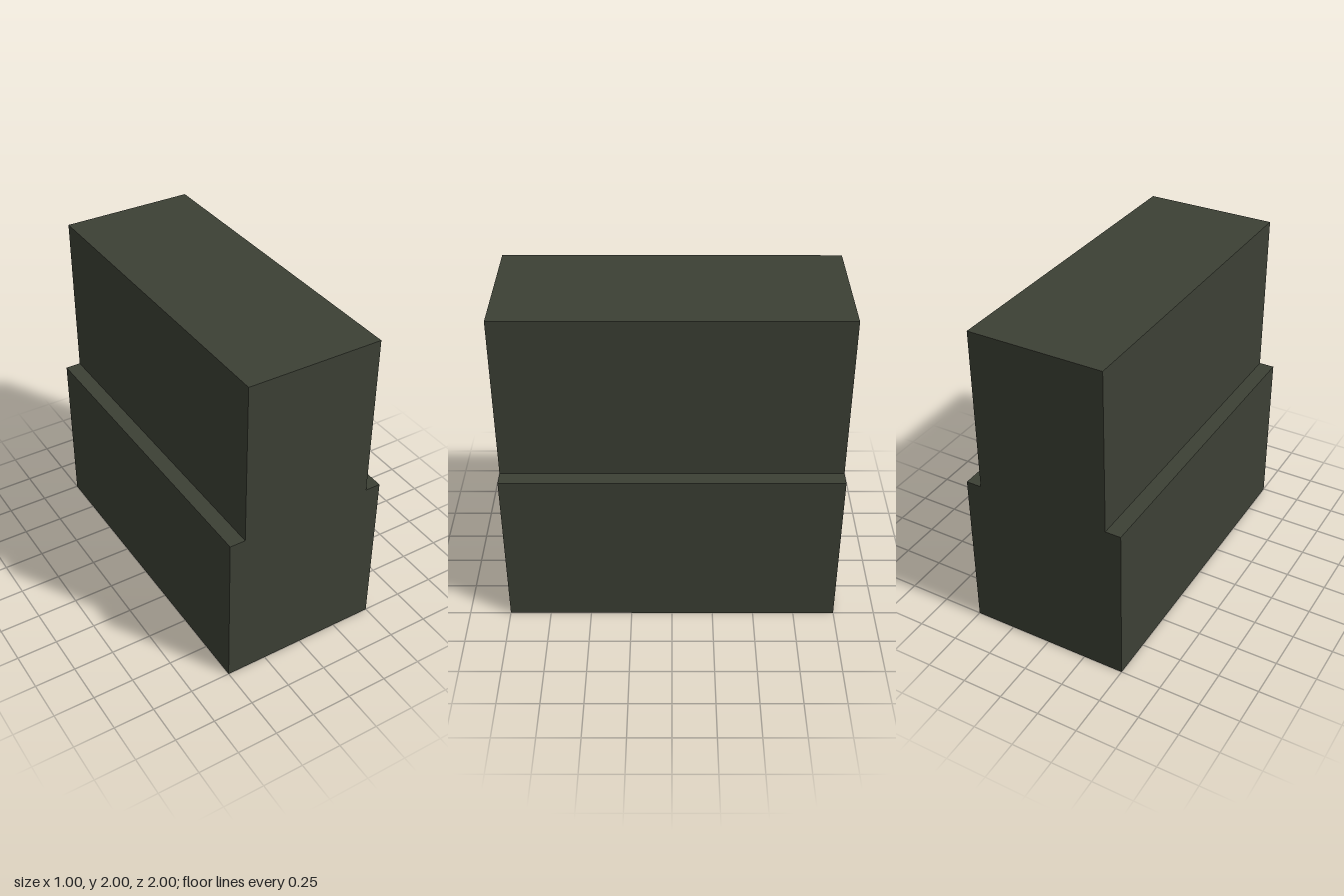
import * as THREE from 'three';

const LENGTH = 2;
const BASE_HALF = 0.5;   // half width of the lower block
const TOP_HALF = 0.405;  // half width of the upper block
const STEP_Y = 1;
const HEIGHT = 2;

export function createModel() {
  const model = new THREE.Group();
  model.name = 'steppedBlock';

  const darkOlive = new THREE.MeshStandardMaterial({ color: 0x3c4035 });
  darkOlive.name = 'darkOlive';

  // Stepped cross-section: right half, then mirrored
  const half = [[BASE_HALF, 0], [BASE_HALF, STEP_Y], [TOP_HALF, STEP_Y], [TOP_HALF, HEIGHT]];
  const mirrored = half.map(([x, y]) => [-x, y]).reverse();
  const profile = new THREE.Shape([...half, ...mirrored].map(([x, y]) => new THREE.Vector2(x, y)));

  // One solid body running front to back
  const geometry = new THREE.ExtrudeGeometry(profile, { depth: LENGTH, bevelEnabled: false });
  geometry.translate(0, 0, -LENGTH / 2);

  const body = new THREE.Mesh(geometry, darkOlive);
  body.name = 'steppedBody';
  model.add(body);

  return model;
}
